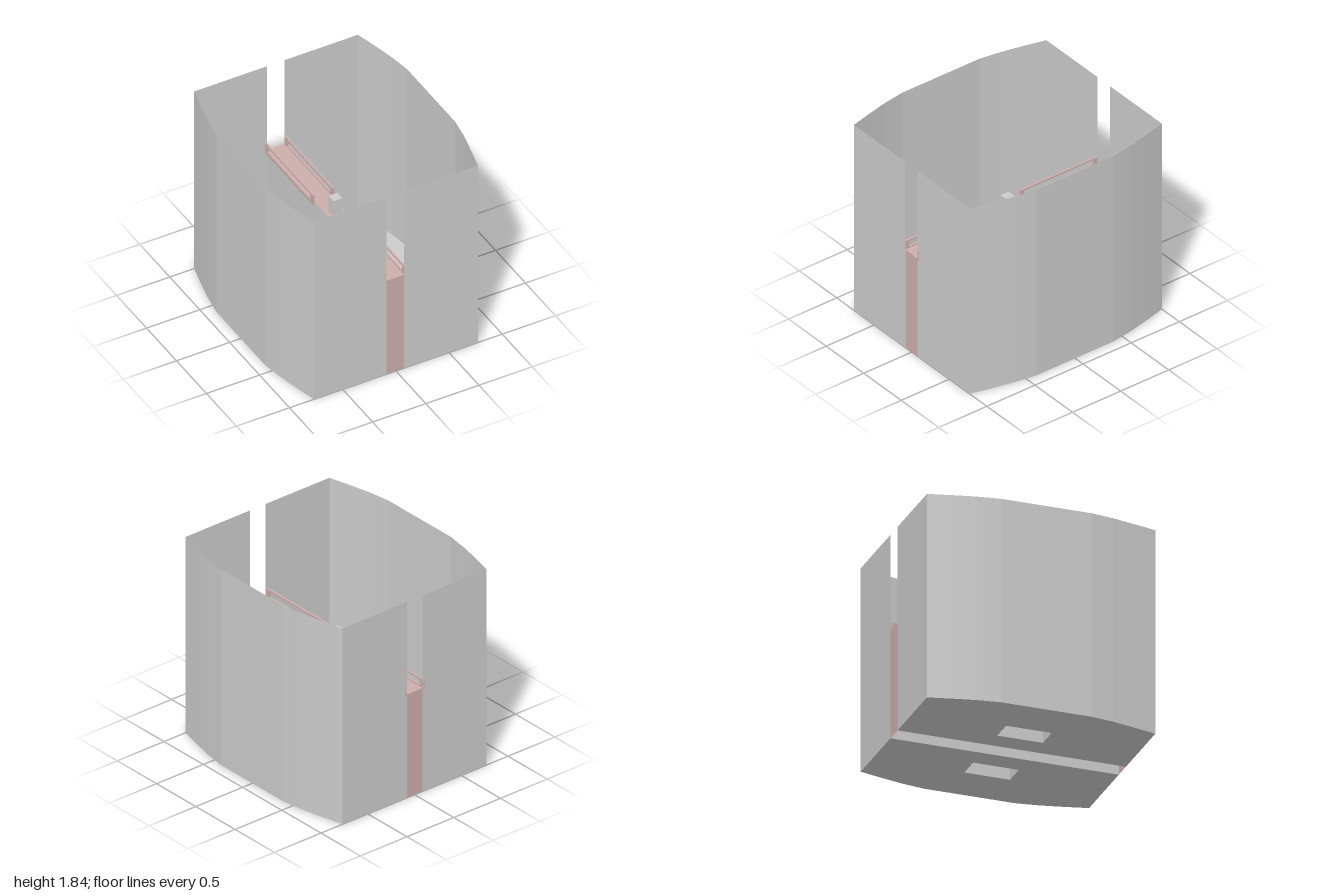
import * as THREE from 'three';

const material = (color) => new THREE.MeshStandardMaterial({ color, flatShading: true, side: THREE.DoubleSide });
const grey = material(0xcccccc);
const pink = material(0xccaeac);
const darkRed = material(0x8c5555);

const HEIGHT = 1.84, RIDGE = 0.97;

function add(parent, name, geometry, mat, x = 0, y = 0, z = 0) {
  const mesh = new THREE.Mesh(geometry, mat);
  mesh.name = name;
  mesh.position.set(x, y, z);
  parent.add(mesh);
  return mesh;
}

// Thin sheet: a 2D polyline swept between two depths, placed by map(a, b, depth)
function sheet(points, d0, d1, map) {
  const pos = [];
  for (let i = 0; i < points.length - 1; i++) {
    const [a, b] = [points[i], points[i + 1]];
    const q = [map(...a, d0), map(...b, d0), map(...b, d1), map(...a, d1)];
    for (const k of [0, 1, 2, 0, 2, 3]) pos.push(...q[k]);
  }
  const g = new THREE.BufferGeometry();
  g.setAttribute('position', new THREE.Float32BufferAttribute(pos, 3));
  g.computeVertexNormals();
  return g;
}

const toShape = (points) => new THREE.Shape(points.map(([a, b]) => new THREE.Vector2(a, b)));
const upright = (x, z, y) => [x, y, z];

// One half of the bin, built on the +x side
function makeHalf(name, inner) {
  const half = new THREE.Group();
  half.name = name;
  const arc = [[0.77, 1], [0.82, 0.8], [0.865, 0.6], [0.895, 0.4]];
  const outline = [[inner, 1], ...arc, ...arc.map(([x, z]) => [x, -z]).reverse(), [inner, -1]];
  add(half, 'outerWall', sheet(outline, 0, HEIGHT, upright), grey);
  add(half, 'dividerWall', sheet([[inner, -1], [inner, 1]], 0, RIDGE, upright), grey);

  // Floor with the opening under the stepped housing
  const floor = toShape(outline);
  floor.holes.push(toShape([[0.28, -0.2], [0.485, -0.2], [0.485, 0.2], [0.28, 0.2]]));
  add(half, 'floor', new THREE.ShapeGeometry(floor).rotateX(Math.PI / 2), grey);

  // Stepped housing, hollow and open below
  const step = [[-0.2, 0], [-0.2, 0.35], [0.09, 0.35], [0.09, 0.2], [0.2, 0.2], [0.2, 0]];
  add(half, 'housingShell', sheet(step, 0.28, 0.485, (z, y, x) => [x, y, z]), grey);
  for (const x of [0.28, 0.485]) {
    add(half, 'housingSide', new THREE.ShapeGeometry(toShape(step)).rotateY(-Math.PI / 2), grey, x);
  }
  add(half, 'ball', new THREE.SphereGeometry(0.085, 24, 16), darkRed, 0.37, 0.42, -0.065);
  return half;
}

export function createModel() {
  const model = new THREE.Group();
  model.name = 'dividedBin';

  const left = makeHalf('leftHalf', 0.078);
  const right = makeHalf('rightHalf', 0.087);
  right.rotation.y = Math.PI;
  model.add(left, right);

  // Cover closing the gap between the halves
  const ridge = new THREE.Group();
  ridge.name = 'centreCover';
  ridge.position.x = -0.0045;
  model.add(ridge);
  const cover = [[1, 0], [1, RIDGE], [-1, RIDGE], [-1, 0]];
  add(ridge, 'coverPlate', sheet(cover, -0.0825, 0.0825, (z, y, x) => [x, y, z]), pink);

  // Framed guide rails beside the cover, leaving the middle free
  for (const sx of [-1, 1]) {
    for (const sz of [-1, 1]) {
      const frame = toShape([[0.2, 0.95], [1, 0.95], [1, 1.05], [0.2, 1.05]]);
      frame.holes.push(toShape([[0.24, 0.98], [0.96, 0.98], [0.96, 1.035], [0.24, 1.035]]));
      const rail = new THREE.ExtrudeGeometry(frame, { depth: 0.018, bevelEnabled: false });
      rail.translate(0, 0, -0.009).rotateY(sz * -Math.PI / 2);
      add(ridge, 'guideRail', rail, pink, sx * 0.0925);
    }
  }

  // Small post at the middle of the cover
  add(ridge, 'centrePost', new THREE.BoxGeometry(0.084, 0.16, 0.084), grey, 0, RIDGE + 0.08, 0);
  return model;
}
